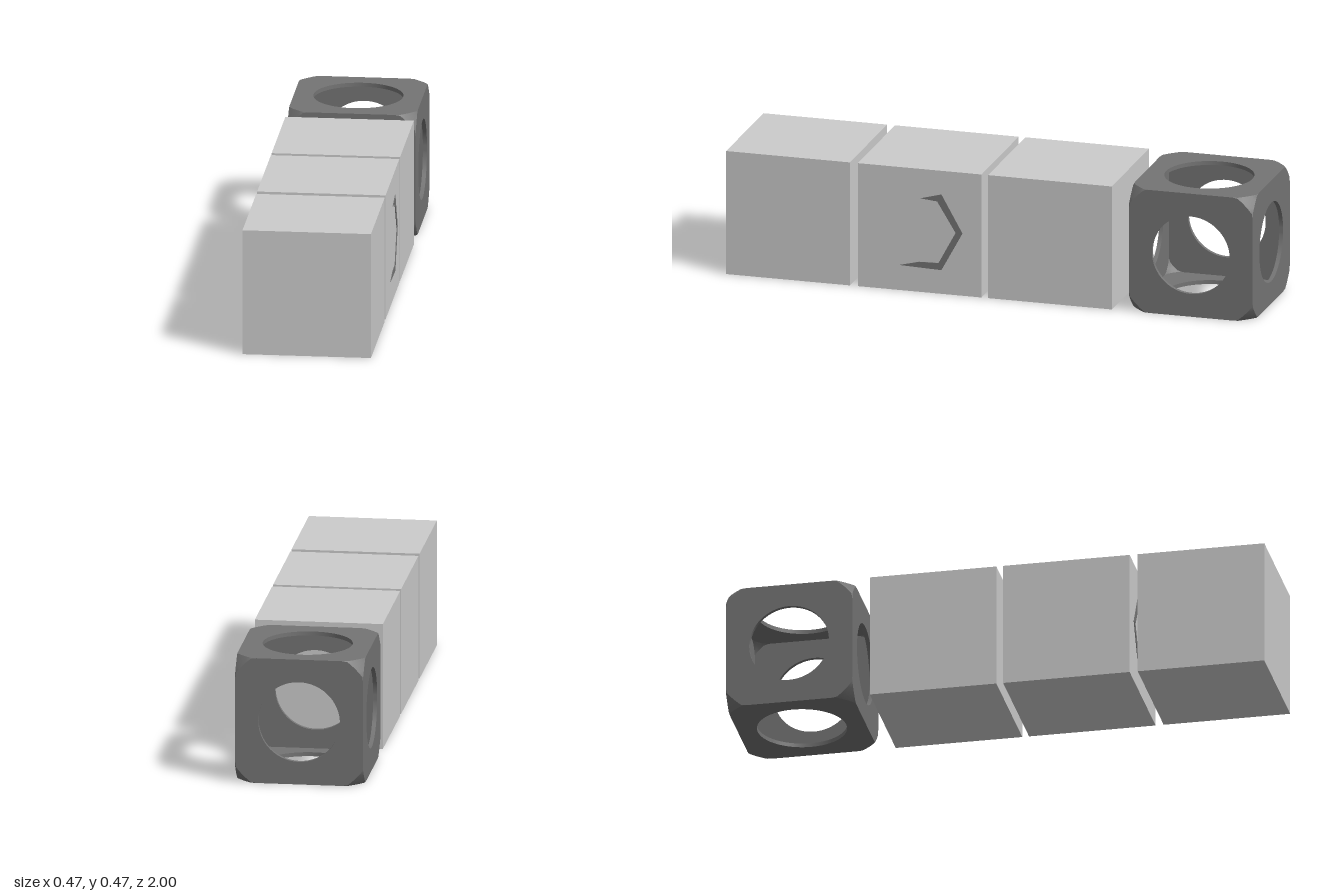
import * as THREE from 'three';
import { toCreasedNormals } from 'three/addons/utils/BufferGeometryUtils.js';

const SIZE = 0.47, H = SIZE / 2;

// One face (looking along +z) of a cube whose corners are trimmed by a sphere, with a round hole
function facePoints(h, R, holeR, segments = 96, rings = 6) {
  const rho = Math.sqrt(R * R - h * h);
  const rows = [];
  for (let i = 0; i <= segments; i++) {
    const a = (i / segments) * Math.PI * 2, c = Math.cos(a), s = Math.sin(a);
    const edge = h / Math.max(Math.abs(c), Math.abs(s));
    const mid = Math.min(rho, edge);
    const row = [];
    for (let k = -1; k <= rings; k++) {
      const d = k < 0 ? holeR : mid + (edge - mid) * k / rings;
      const p = new THREE.Vector3(d * c, d * s, h);
      if (p.length() > R) p.setLength(R);
      row.push(p);
    }
    rows.push(row);
  }
  return rows;
}

// Hollow shell: outer skin, inner skin and hole rims on all six faces
function shellGeometry(h, R, wall, holes) {
  const pos = [];
  const half = Math.PI / 2;
  const turns = [[0, 0, holes.z], [0, Math.PI, holes.z], [0, half, holes.x],
    [0, -half, holes.x], [half, 0, holes.y], [-half, 0, holes.y]];
  for (const [rx, ry, holeR] of turns) {
    const turn = new THREE.Matrix4().makeRotationFromEuler(new THREE.Euler(rx, ry, 0));
    const tri = (a, b, c) => {
      if (a.distanceTo(b) < 1e-6 || b.distanceTo(c) < 1e-6 || a.distanceTo(c) < 1e-6) return;
      for (const p of [a, b, c]) pos.push(...p.clone().applyMatrix4(turn).toArray());
    };
    const quad = (a, b, c, d) => { tri(a, b, c); tri(a, c, d); };
    const outer = facePoints(h, R, holeR);
    const inner = facePoints(h - wall, R - wall, holeR);
    for (let i = 0; i < outer.length - 1; i++) {
      for (let k = 0; k < outer[0].length - 1; k++) {
        quad(outer[i][k], outer[i][k + 1], outer[i + 1][k + 1], outer[i + 1][k]);
        quad(inner[i][k], inner[i + 1][k], inner[i + 1][k + 1], inner[i][k + 1]);
      }
      quad(outer[i][0], outer[i + 1][0], inner[i + 1][0], inner[i][0]);
    }
  }
  const geo = new THREE.BufferGeometry();
  geo.setAttribute('position', new THREE.Float32BufferAttribute(pos, 3));
  return toCreasedNormals(geo, 0.6);
}

// Partial hexagon stroke, barely raised from a cube face
function strokeGeometry(points) {
  const shape = new THREE.Shape(points.map(([x, y]) => new THREE.Vector2(x, y)));
  return new THREE.ExtrudeGeometry(shape, { depth: 0.012, bevelEnabled: false });
}

export function createModel() {
  const model = new THREE.Group();
  const grey = new THREE.MeshStandardMaterial({ color: 0xcccccc });
  const dark = new THREE.MeshStandardMaterial({ color: 0x747474 });
  const add = (name, geo, mat, x, y, z) => {
    const mesh = new THREE.Mesh(geo, mat);
    mesh.name = name;
    mesh.position.set(x, y, z);
    model.add(mesh);
    return mesh;
  };

  // Three plain cubes in a row
  const box = new THREE.BoxGeometry(SIZE, SIZE, SIZE);
  const centres = { frontCube: 0.765, markedCube: 0.265, middleCube: -0.23 };
  for (const [name, z] of Object.entries(centres)) add(name, box, grey, 0, H, z);

  // Hexagonal strokes on the second cube
  const stroke = [[0.003, 0.358], [0.083, 0.38], [0.163, 0.238], [0.083, 0.091], [-0.077, 0.096],
    [-0.002, 0.115], [0.072, 0.117], [0.137, 0.238], [0.067, 0.352]];
  add('sideStroke', strokeGeometry(stroke), dark, H - 0.01, 0, 0.265).rotation.y = Math.PI / 2;
  const front = stroke.slice(1, 4).concat(stroke.slice(6)).map(([x, y]) => [-x, y]);
  add('frontStroke', strokeGeometry(front), dark, 0, 0, 0.265 + H - 0.01);

  // Hollow cube with a round hole in every face
  const shell = shellGeometry(H, 0.375, 0.015, { x: 0.148, y: 0.164, z: 0.15 });
  add('hollowCube', shell, dark, 0, H, -0.765);
  return model;
}
